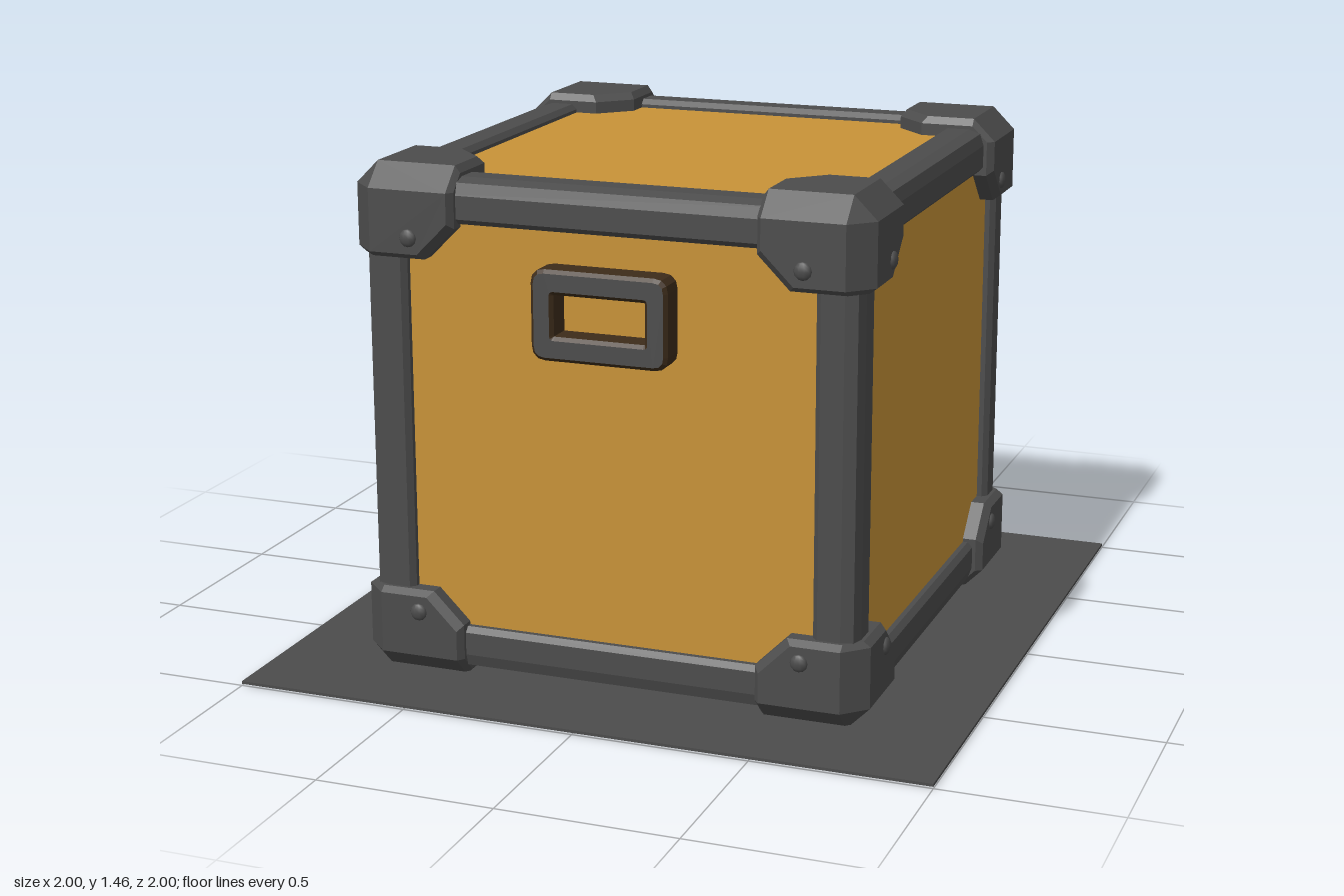
import * as THREE from 'three';
import { ConvexGeometry } from 'three/addons/geometries/ConvexGeometry.js';

const H = [0.74, 0.73, 0.77];          // half extents over the corner guards
const IN = [0.43, 0.475, 0.46];        // inner limits of the corner guards
const CENTRE_Y = 0.735;

export function createModel() {
  const yellow = new THREE.MeshStandardMaterial({ color: 0xc89337 });
  yellow.name = 'yellowPanel';
  const grey = new THREE.MeshStandardMaterial({ color: 0x4c4c4c });
  grey.name = 'darkGrey';
  const brown = new THREE.MeshStandardMaterial({ color: 0x3d2c1a });
  brown.name = 'darkBrown';

  const model = new THREE.Group();
  model.name = 'crate';
  const crate = new THREE.Group();
  crate.name = 'crateBody';
  crate.position.y = CENTRE_Y;
  model.add(crate);

  const add = (parent, name, geometry, material) => {
    const mesh = new THREE.Mesh(geometry, material);
    mesh.name = name;
    parent.add(mesh);
    return mesh;
  };
  const hull = (points) => new ConvexGeometry(points.map((p) => new THREE.Vector3(...p)));

  // Panels: one box, recessed behind the rails
  add(crate, 'panels', new THREE.BoxGeometry(1.36, 1.35, 1.42), yellow);

  // Edge rails: chamfered bars along each of the twelve edges
  for (let axis = 0; axis < 3; axis++) {
    const j = (axis + 1) % 3, k = (axis + 2) % 3;
    for (const sj of [-1, 1]) for (const sk of [-1, 1]) {
      const oj = H[j] - 0.03, ok = H[k] - 0.03, w = 0.125, c = 0.045, b = 0.015;
      const profile = [
        [oj, ok - c], [oj - c, ok], [oj - c * 0.25, ok - c * 0.25],
        [oj - w + b, ok], [oj - w, ok - b], [oj - w, ok - w],
        [oj, ok - w + b], [oj - b, ok - w],
      ];
      const points = [];
      for (const end of [-1, 1]) for (const [a, d] of profile) {
        const p = [0, 0, 0];
        p[axis] = end * (IN[axis] + 0.1);
        p[j] = sj * a;
        p[k] = sk * d;
        points.push(p);
      }
      add(crate, 'edgeRail', hull(points), grey);
    }
  }

  // Corner guards: three chamfered faces joined into one solid, with rivets
  const cut = 0.09, outer = 0.065;
  for (const sx of [-1, 1]) for (const sy of [-1, 1]) for (const sz of [-1, 1]) {
    const s = [sx, sy, sz];
    const points = [];
    for (let f = 0; f < 3; f++) {
      const j = (f + 1) % 3, k = (f + 2) % 3;
      const put = (depth, a, b) => {
        const p = [0, 0, 0];
        p[f] = s[f] * (H[f] - depth);
        p[j] = s[j] * a;
        p[k] = s[k] * b;
        points.push(p);
      };
      for (const [depth, inset] of [[0, 0.015], [0.02, 0], [0.13, 0]]) {
        const lj = IN[j] + inset, lk = IN[k] + inset;
        put(depth, lj + cut, lk);
        put(depth, lj, lk + cut);
        put(depth, H[j] - outer, lk);
        put(depth, lj, H[k] - outer);
      }
      put(0, H[j] - outer, H[k] - outer);
    }
    add(crate, 'cornerGuard', hull(points), grey);

    const rivet = new THREE.SphereGeometry(0.025, 10, 6);
    const front = add(crate, 'frontRivet', rivet, grey);
    front.position.set(sx * 0.56, sy * 0.535, sz * H[2]);
    front.scale.z = 0.5;
    const side = add(crate, 'sideRivet', rivet, grey);
    side.position.set(sx * H[0], sy * 0.535, sz * 0.565);
    side.scale.x = 0.5;
  }

  // Handles: rounded frames on the front and back
  const roundRect = (path, w, h, r) => {
    path.moveTo(-w + r, -h);
    path.lineTo(w - r, -h);
    path.quadraticCurveTo(w, -h, w, -h + r);
    path.lineTo(w, h - r);
    path.quadraticCurveTo(w, h, w - r, h);
    path.lineTo(-w + r, h);
    path.quadraticCurveTo(-w, h, -w, h - r);
    path.lineTo(-w, -h + r);
    path.quadraticCurveTo(-w, -h, -w + r, -h);
    return path;
  };
  const frame = roundRect(new THREE.Shape(), 0.185, 0.115, 0.03);
  frame.holes.push(roundRect(new THREE.Path(), 0.14, 0.067, 0.012));
  const frameGeometry = new THREE.ExtrudeGeometry(frame, {
    depth: 0.08, bevelSize: 0.01, bevelThickness: 0.01, bevelSegments: 1, curveSegments: 3,
  });
  for (const side of [1, -1]) {
    const handle = new THREE.Group();
    handle.name = side > 0 ? 'frontHandle' : 'backHandle';
    handle.position.set(0, 1.095 - CENTRE_Y, side * 0.7);
    handle.rotation.y = side > 0 ? 0 : Math.PI;
    add(handle, 'handleFrame', frameGeometry, [grey, brown]);
    crate.add(handle);
  }

  // Ground plate with an octagonal opening under the bottom panel
  const plate = new THREE.Shape([[-1, -1], [1, -1], [1, 1], [-1, 1]].map((p) => new THREE.Vector2(...p)));
  const opening = [
    [0.59, 0.46], [0.43, 0.63], [-0.43, 0.63], [-0.59, 0.46],
    [-0.59, -0.46], [-0.43, -0.63], [0.43, -0.63], [0.59, -0.46],
  ];
  plate.holes.push(new THREE.Path(opening.map((p) => new THREE.Vector2(...p))));
  const plateGeometry = new THREE.ExtrudeGeometry(plate, { depth: 0.008, bevelEnabled: false });
  plateGeometry.rotateX(-Math.PI / 2);
  add(model, 'groundPlate', plateGeometry, grey).position.y = 0.01;

  return model;
}
